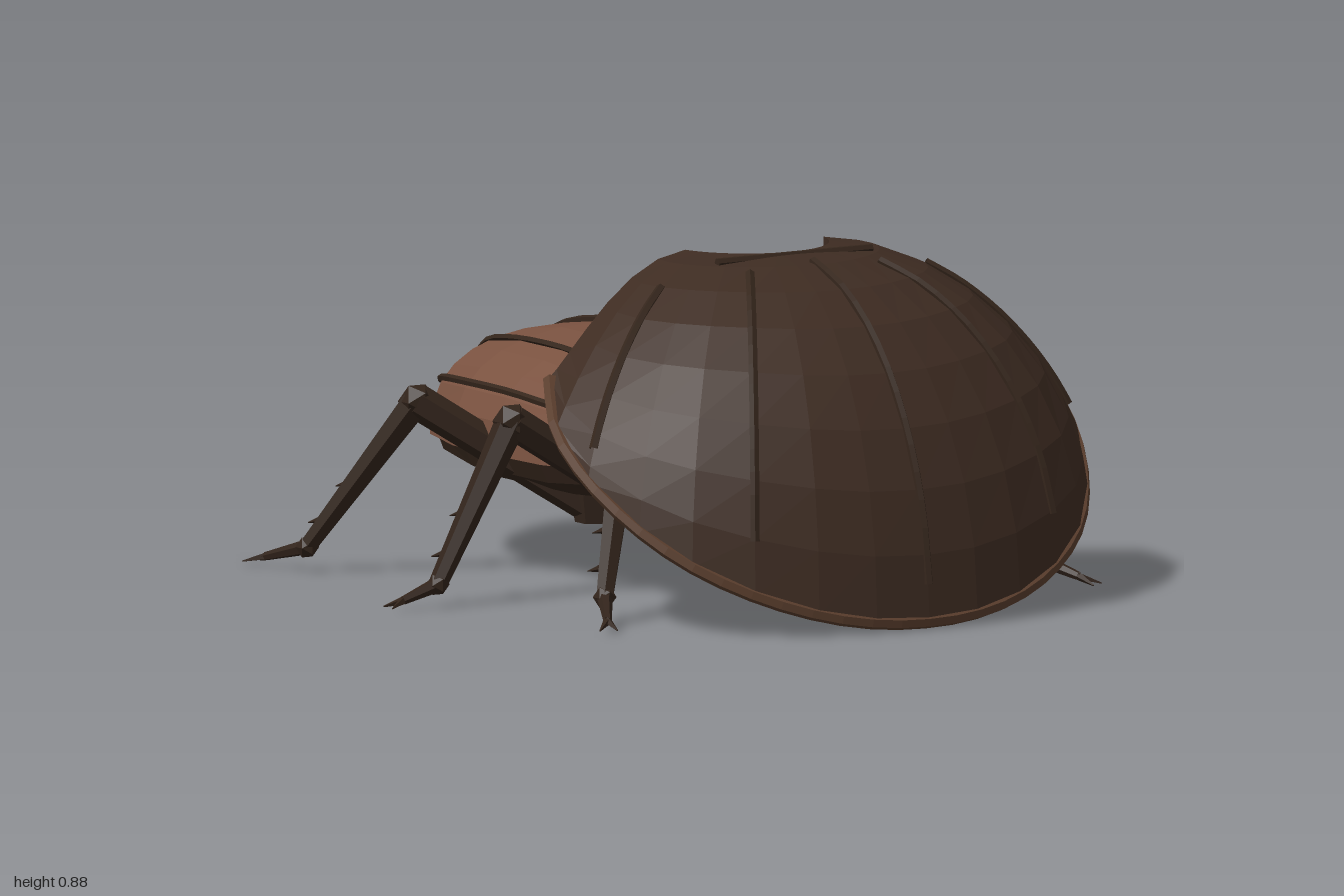
import * as THREE from 'three';

const mat = (color) => new THREE.MeshStandardMaterial({ color, flatShading: true, roughness: 0.8, side: THREE.DoubleSide });
const WING = mat(0x7a5240), THORAX = mat(0x5c3f30), SHIELD = mat(0x3e2c22), RIM = mat(0x5a3e2d);
const DARK = mat(0x35261c), LEG = mat(0x32241b), EYE = mat(0x12151a);
const V = (x, y, z) => new THREE.Vector3(x, y, z);
const spow = (v, p) => Math.sign(v) * Math.abs(v) ** p;

function add(parent, name, geo, material) {
  const m = new THREE.Mesh(geo, material);
  m.name = name;
  parent.add(m);
  return m;
}

// Surface over an (nu+1) x (nv+1) lattice of points f(i, j)
function grid(nu, nv, f) {
  const pos = [], idx = [];
  for (let i = 0; i <= nu; i++) for (let j = 0; j <= nv; j++) pos.push(...f(i, j).toArray());
  for (let i = 0; i < nu; i++) for (let j = 0; j < nv; j++) {
    const a = i * (nv + 1) + j, b = a + nv + 1;
    idx.push(a, b, a + 1, b, b + 1, a + 1);
  }
  let g = new THREE.BufferGeometry();
  g.setAttribute('position', new THREE.Float32BufferAttribute(pos, 3));
  g.setIndex(idx);
  g = g.toNonIndexed();
  g.computeVertexNormals();
  return g;
}

// Closed body from sections [z, halfWidth, yBottom, yMiddle, yTop], front to back
function loft(sections, n, p = 0.8) {
  const cap = ([z, , , m]) => [z, 0, m, m, m];
  const s = [cap(sections[0]), ...sections, cap(sections[sections.length - 1])];
  return grid(s.length - 1, n, (i, j) => {
    const [z, w, yb, ym, yt] = s[i], a = (j / n) * Math.PI * 2, sn = spow(Math.sin(a), p);
    return V(w * spow(Math.cos(a), p), ym + sn * (sn > 0 ? yt - ym : ym - yb), z);
  });
}

const tube = (pts, r, sides = 5) => new THREE.TubeGeometry(new THREE.CatmullRomCurve3(pts), pts.length * 2, r, sides);

// Tapered rod between two points
function rod(parent, name, a, b, ra, rb, material = LEG, sides = 6) {
  const m = add(parent, name, new THREE.CylinderGeometry(rb, ra, a.distanceTo(b), sides), material);
  m.position.copy(a).lerp(b, 0.5);
  m.quaternion.setFromUnitVectors(V(0, 1, 0), b.clone().sub(a).normalize());
}

function mirror(parent, half, name) {
  half.name = 'left' + name;
  const other = half.clone();
  other.name = 'right' + name;
  other.scale.x = -1;
  parent.add(half, other);
}

// ---- Shield: spokes from a round notch out to a tilted, planar rim ----
const RIM_HALF = [[0, 0.985], [0.15, 0.975], [0.3, 0.94], [0.45, 0.875], [0.58, 0.785], [0.67, 0.68], [0.735, 0.54], [0.745, 0.4], [0.68, 0.26]];
const N = RIM_HALF.length - 1;
const rimY = (z) => 0.025 + 0.795 * (0.98 - z);
function shieldPoint(k, t, thick = 0) {
  const [ax, z] = RIM_HALF[Math.abs(k)], x = ax * Math.sign(k);
  const phi = Math.atan2(x, z - 0.13), th = t * Math.PI / 2, s = Math.sin(th);
  const q = 0.5 + 0.75 * (Math.abs(phi) / 1.38) ** 4;
  const x0 = 0.21 * Math.sin(phi), z0 = 0.13 + 0.21 * Math.cos(phi), y = rimY(z);
  const inward = thick * s;
  return V(x0 + (x - x0) * s - inward * Math.sin(phi),
    y + (0.88 - y) * Math.max(Math.cos(th), 0) ** (2 * q) - thick * Math.cos(th),
    z0 + (z - z0) * s - inward * Math.cos(phi));
}

function buildShield() {
  const g = new THREE.Group();
  g.name = 'headShield';
  const T = 8, turn = 2 * T + 2;
  // outer skin, rim, inner skin, notch edge; the end columns close the sides
  add(g, 'shieldShell', grid(turn, 2 * N + 2, (i, j) => {
    const k = Math.min(Math.max(j - 1 - N, -N), N), end = j === 0 || j === 2 * N + 2;
    if (i === turn) i = 0;
    return i <= T ? shieldPoint(k, i / T) : shieldPoint(k, (turn - 1 - i) / T, end ? 0 : 0.035);
  }), SHIELD);
  const rim = [];
  for (let k = -N; k <= N; k++) rim.push(shieldPoint(k, 1, 0.015));
  add(g, 'shieldRim', tube(rim, 0.02, 6), RIM);
  for (const [k, t0, t1] of [[0, 0.1, 0.93], [3, 0.16, 0.88], [-3, 0.16, 0.88], [6, 0.25, 0.8], [-6, 0.25, 0.8]]) {
    const pts = [];
    for (let i = 0; i <= 6; i++) pts.push(shieldPoint(k, t0 + (t1 - t0) * i / 6));
    add(g, 'shieldRib', tube(pts, 0.012), DARK);
  }
  rod(g, 'notchRidge', V(-0.23, 0.872, 0.355), V(0.23, 0.872, 0.355), 0.012, 0.012, DARK);
  return g;
}

// ---- Wing cases: [z, halfWidth, topHeight], front to back ----
const WING_ROWS = [[0.01, 0.42, 0.55], [-0.1, 0.46, 0.575], [-0.3, 0.47, 0.6], [-0.5, 0.465, 0.6], [-0.7, 0.405, 0.57],
  [-0.85, 0.3, 0.51], [-0.95, 0.17, 0.44], [-1, 0.07, 0.39]];
function wingPoint(i, a) {
  const [z, w, yt] = WING_ROWS[i];
  return V(0.006 + w * Math.max(Math.cos(a), 0) ** 0.8, 0.32 + (yt - 0.32) * Math.sin(a) ** 0.8, z);
}
function buildWing() {
  const g = new THREE.Group(), R = WING_ROWS.length, n = 7;
  add(g, 'wingCase', grid(R, n, (i, j) => {
    const p = wingPoint(Math.min(i, R - 1), (j / n) * Math.PI / 2);
    if (i === R) p.y = 0.32;
    return p;
  }), WING);
  for (const [deg, last] of [[62, 6], [29, 7]]) {
    const pts = [];
    for (let i = 0; i < last; i++) pts.push(wingPoint(i, deg * Math.PI / 180));
    pts[0].z = -0.05;
    add(g, 'wingGroove', tube(pts, 0.01), DARK);
  }
  const collar = [];
  for (let j = 0; j <= 7; j++) collar.push(wingPoint(0, (j / 7) * Math.PI / 2));
  add(g, 'wingCollar', tube(collar, 0.013), DARK);
  return g;
}

// ---- Leg: hip, knee, ankle, foot ----
function buildLeg(hip, knee, ankle, foot) {
  const g = new THREE.Group();
  rod(g, 'hip', hip.clone().add(V(0, 0.08, 0)), hip.clone().add(V(0, -0.03, 0)), 0.07, 0.05);
  rod(g, 'thigh', hip, knee, 0.042, 0.045);
  add(g, 'knee', new THREE.IcosahedronGeometry(0.048, 0), LEG).position.copy(knee);
  rod(g, 'shin', knee, ankle, 0.04, 0.024);
  add(g, 'ankle', new THREE.IcosahedronGeometry(0.03, 0), LEG).position.copy(ankle);
  const toe = ankle.clone().lerp(foot, 0.7);
  rod(g, 'tarsus', ankle, toe, 0.02, 0.011);
  const dir = foot.clone().sub(ankle).setY(0).normalize(), side = V(dir.z, 0, -dir.x);
  for (const s of [-1, 1]) rod(g, 'claw', toe, foot.clone().addScaledVector(side, s * 0.022), 0.011, 0.002, LEG, 4);
  for (const t of [0.55, 0.8]) {
    const p = knee.clone().lerp(ankle, t);
    rod(g, 'spine', p, p.clone().add(V(0.015, -0.02, -0.075)), 0.015, 0.001, LEG, 4);
  }
  return g;
}

export function createModel() {
  const model = new THREE.Group();
  model.name = 'beetle';

  add(model, 'thorax', loft([[0.42, 0.33, 0.21, 0.36, 0.66], [0.34, 0.42, 0.2, 0.38, 0.74], [0.25, 0.46, 0.2, 0.38, 0.76],
    [0.18, 0.48, 0.2, 0.38, 0.7], [0.08, 0.46, 0.2, 0.38, 0.61], [0.01, 0.43, 0.21, 0.37, 0.56]], 20, 0.7), THORAX);
  add(model, 'abdomen', loft([[0, 0.4, 0.22, 0.32, 0.5], [-0.15, 0.44, 0.2, 0.32, 0.5], [-0.5, 0.44, 0.2, 0.32, 0.5],
    [-0.75, 0.36, 0.21, 0.32, 0.46], [-0.94, 0.16, 0.25, 0.32, 0.38]], 16), DARK);

  // Head
  add(model, 'head', loft([[0.62, 0.13, 0.23, 0.28, 0.33], [0.55, 0.22, 0.21, 0.31, 0.42], [0.38, 0.28, 0.2, 0.33, 0.46]], 12), DARK);
  const face = new THREE.Group();
  add(face, 'eye', new THREE.IcosahedronGeometry(0.045, 1), EYE).position.set(0.27, 0.37, 0.44);
  const jaw = [V(0.1, 0.25, 0.56), V(0.16, 0.25, 0.63), V(0.12, 0.25, 0.69), V(0.03, 0.26, 0.7)];
  jaw.slice(1).forEach((p, i) => rod(face, 'mandible', jaw[i], p, 0.032 - i * 0.009, 0.024 - i * 0.01));
  rod(face, 'antenna', V(0.2, 0.3, 0.53), V(0.32, 0.29, 0.6), 0.012, 0.018);
  mirror(model, face, 'Face');

  model.add(buildShield());

  // Wing cases, their seam and the rear plate
  mirror(model, buildWing(), 'WingCase');
  const seam = WING_ROWS.slice(0, 6).map(([z, , y]) => V(0, y, z));
  add(model, 'wingSeam', tube(seam, 0.012), DARK);
  const plate = add(model, 'rearPlate', new THREE.CylinderGeometry(0.08, 0.12, 0.04, 4, 1), THORAX);
  plate.geometry.rotateY(Math.PI / 4);
  plate.scale.set(1.3, 1, 0.35);
  plate.position.set(0, 0.455, -0.91);
  plate.rotation.x = -0.6;

  // Legs
  mirror(model, buildLeg(V(0.2, 0.2, 0.29), V(0.5, 0.43, 0.34), V(0.64, 0.07, 0.47), V(0.73, 0.012, 0.63)), 'FrontLeg');
  mirror(model, buildLeg(V(0.24, 0.21, 0.06), V(0.63, 0.46, 0.02), V(0.84, 0.06, 0.005), V(0.985, 0.012, 0)), 'MiddleLeg');
  mirror(model, buildLeg(V(0.22, 0.17, -0.23), V(0.61, 0.45, -0.45), V(0.79, 0.065, -0.68), V(0.845, 0.012, -0.87)), 'HindLeg');

  return model;
}
